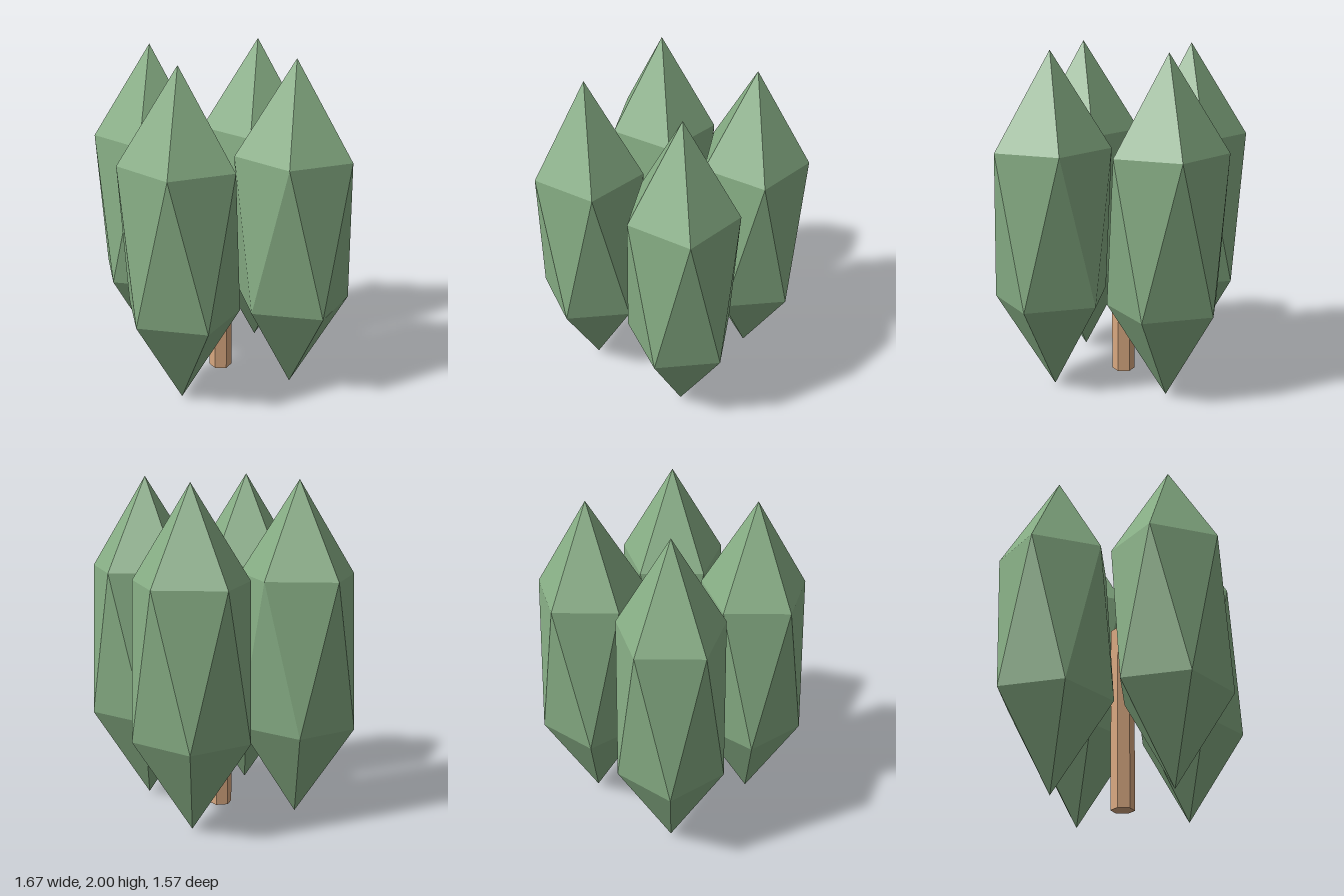
import * as THREE from 'three';

// Stretched icosahedron: two poles and two staggered rings of five points
function crownGeometry(rx, ry, rz) {
  const point = (angle, y) => {
    const r = Math.sqrt(1 - y * y);
    return [rx * r * Math.cos(angle), ry * y, rz * r * Math.sin(angle)];
  };
  const step = (Math.PI * 2) / 5;
  const ringY = 1 / Math.sqrt(5);
  const upper = (i) => point(i * step, ringY);
  const lower = (i) => point((i + 0.5) * step, -ringY);
  const top = [0, ry, 0];
  const bottom = [0, -ry, 0];
  const positions = [];
  const face = (a, b, c) => positions.push(...a, ...b, ...c);
  for (let i = 0; i < 5; i++) {
    face(top, upper(i + 1), upper(i));
    face(upper(i), upper(i + 1), lower(i));
    face(lower(i + 1), lower(i), upper(i + 1));
    face(lower(i + 1), bottom, lower(i));
  }
  const geometry = new THREE.BufferGeometry();
  geometry.setAttribute('position', new THREE.Float32BufferAttribute(positions, 3));
  geometry.computeVertexNormals();
  return geometry;
}

export function createModel() {
  const leafGreen = new THREE.MeshStandardMaterial({ color: 0x87ae85, flatShading: true });
  leafGreen.name = 'leaf green';
  const barkTan = new THREE.MeshStandardMaterial({ color: 0xd8a880, flatShading: true });
  barkTan.name = 'bark tan';

  const tree = new THREE.Group();
  tree.name = 'tree';

  // Six-sided trunk in the middle
  const trunk = new THREE.Mesh(new THREE.CylinderGeometry(0.07, 0.07, 1.12, 6), barkTan);
  trunk.name = 'trunk';
  trunk.position.y = 0.56;
  tree.add(trunk);

  // Four identical leaf crowns around the trunk
  const crown = crownGeometry(0.397, 0.9975, 0.36);
  const spots = { leftCrown: [1, 0], rightCrown: [-1, 0], frontCrown: [0, 1], backCrown: [0, -1] };
  for (const [name, [x, z]] of Object.entries(spots)) {
    const mesh = new THREE.Mesh(crown, leafGreen);
    mesh.name = name;
    mesh.position.set(x * 0.48, 1.0025, z * 0.48);
    tree.add(mesh);
  }
  return tree;
}
